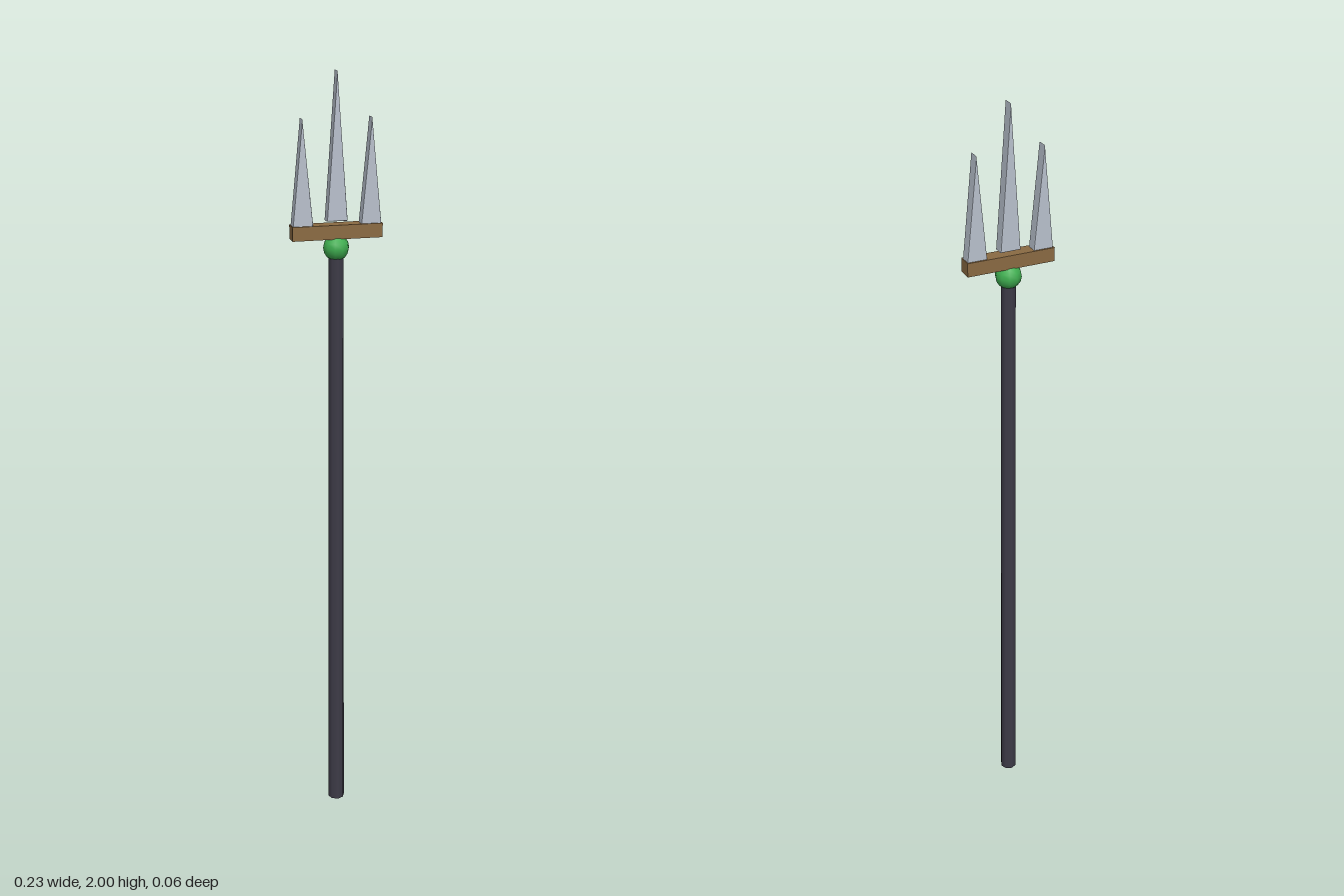
import * as THREE from 'three';

const paint = (color) => new THREE.MeshStandardMaterial({ color });

export function createModel() {
  const trident = new THREE.Group();
  trident.name = 'trident';

  const add = (name, geometry, material, x, y) => {
    const mesh = new THREE.Mesh(geometry, material);
    mesh.name = name;
    mesh.position.set(x, y, 0);
    trident.add(mesh);
  };

  // Slightly tapered pole
  const poleHeight = 1.575;
  add('shaft', new THREE.CylinderGeometry(0.019, 0.0225, poleHeight, 8), paint(0x3d3b47), 0, poleHeight / 2);

  // Gem joining the pole to the head
  add('gem', new THREE.SphereGeometry(0.033, 10, 8), paint(0x3fae50), 0, 1.575);

  // Crossbar carrying the tines
  add('crossbar', new THREE.BoxGeometry(0.227, 0.035, 0.038), paint(0x8a6a42), 0, 1.616);

  // Bevelled triangular tine
  const tineGeometry = (height) => {
    const outline = new THREE.Shape([
      new THREE.Vector2(-0.023, 0),
      new THREE.Vector2(0.023, 0),
      new THREE.Vector2(0, height),
    ]);
    return new THREE.ExtrudeGeometry(outline, {
      depth: 0.024,
      bevelEnabled: true,
      bevelSize: 0.003,
      bevelThickness: 0.003,
      bevelSegments: 2,
    }).translate(0, 0, -0.012);
  };

  const steel = paint(0xb8c0cc);
  add('centreTine', tineGeometry(0.351), steel, 0, 1.645);
  for (const side of [-1, 1]) {
    add(side > 0 ? 'leftTine' : 'rightTine', tineGeometry(0.256), steel, side * 0.086, 1.63);
  }

  return trident;
}
